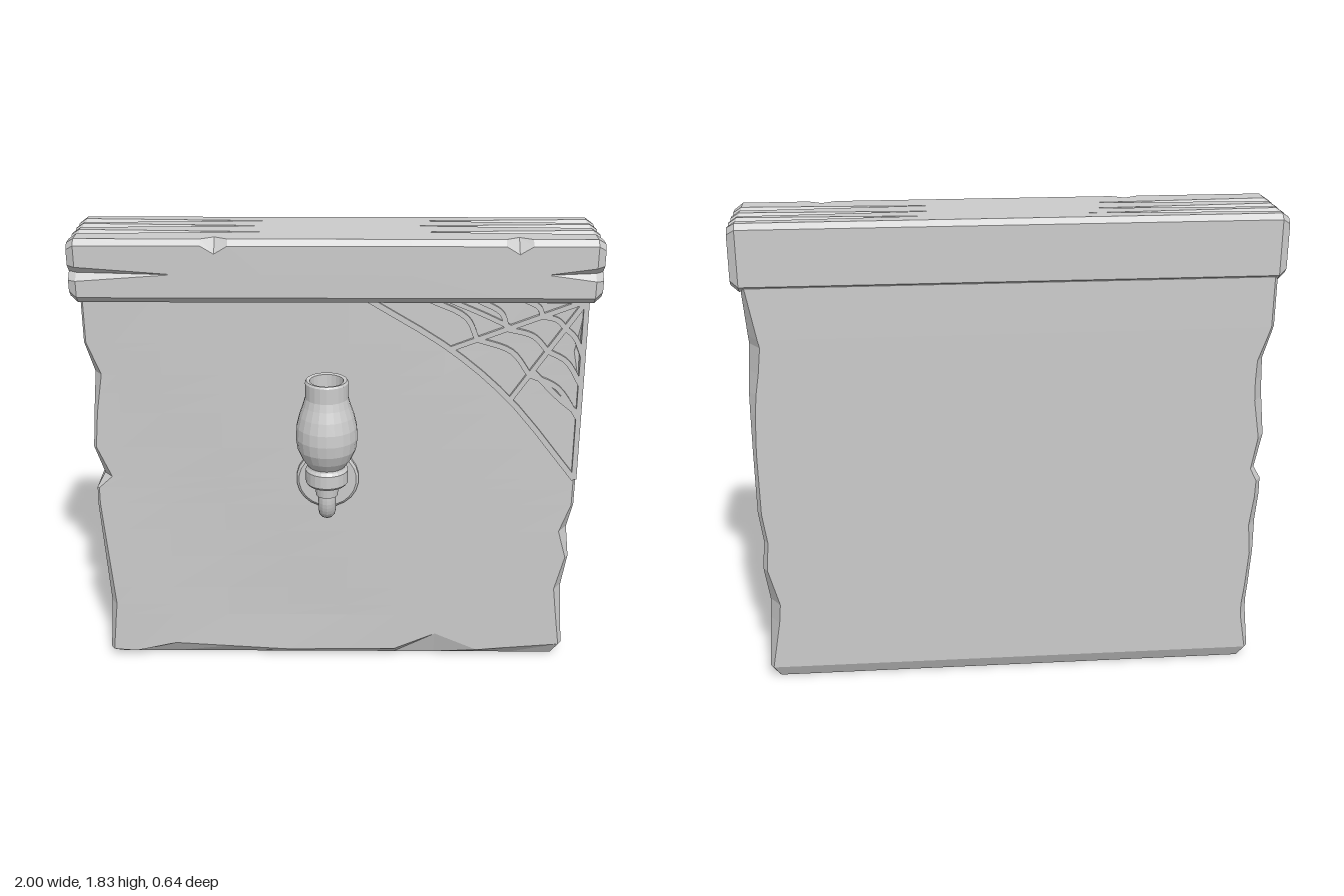
import * as THREE from 'three';

const mat = new THREE.MeshStandardMaterial({ color: 0xcccccc, flatShading: true });

function add(parent, name, geo) {
  const m = new THREE.Mesh(geo, mat);
  m.name = name;
  parent.add(m);
  return m;
}

// Skin equal-length rings of [x, y, z] points and close both ends with fans
function loft(rings) {
  const n = rings[0].length, pos = [];
  const tri = (a, b, c) => pos.push(...a, ...b, ...c);
  for (let r = 0; r < rings.length - 1; r++) {
    for (let i = 0; i < n; i++) {
      const j = (i + 1) % n;
      const a = rings[r][i], b = rings[r][j], c = rings[r + 1][j], d = rings[r + 1][i];
      tri(a, b, c);
      tri(a, c, d);
    }
  }
  const centre = (ring) => [0, 1, 2].map((k) => ring.reduce((s, p) => s + p[k], 0) / n);
  const first = rings[0], last = rings[rings.length - 1];
  const c0 = centre(first), c1 = centre(last);
  for (let i = 0; i < n; i++) {
    const j = (i + 1) % n;
    tri(c0, first[j], first[i]);
    tri(c1, last[i], last[j]);
  }
  const g = new THREE.BufferGeometry();
  g.setAttribute('position', new THREE.Float32BufferAttribute(pos, 3));
  g.computeVertexNormals();
  return g;
}

// Piecewise linear lookup in [key, value] pairs
function lerpTable(t, k) {
  if (k <= t[0][0]) return t[0][1];
  for (let i = 1; i < t.length; i++) {
    if (k <= t[i][0]) {
      const f = (k - t[i - 1][0]) / (t[i][0] - t[i - 1][0]);
      return t[i - 1][1] + f * (t[i][1] - t[i - 1][1]);
    }
  }
  return t[t.length - 1][1];
}

// Wall slab: horizontal rings whose corner chamfers vary with height
function wallGeometry() {
  const F = -0.01, B = -0.32, L = -0.97, R = 0.965;
  const frontR = [[0.05, 0.02], [0.33, 0.05], [0.48, 0.02], [0.6, 0.055], [0.72, 0.015], [1.2, 0.015], [1.38, 0.05], [1.58, 0.012]];
  const backR = [[0.05, 0.02], [0.31, 0.065], [0.45, 0.025], [1.05, 0.02], [1.36, 0.065], [1.56, 0.02]];
  const frontL = [[0.05, 0.02], [0.25, 0.035], [0.79, 0.012], [0.84, 0.05], [0.97, 0.015], [1.12, 0.02], [1.28, 0.04], [1.41, 0.012]];
  const backL = [[0.05, 0.02], [0.2, 0.04], [0.45, 0.02], [0.6, 0.05], [0.85, 0.025], [1.15, 0.06], [1.4, 0.02]];
  const sideL = [[0.05, 0.01], [0.25, 0.025], [0.78, 0], [0.84, 0.035], [0.97, 0.005], [1.28, 0.03], [1.41, 0]];
  const sideR = [[0.05, 0.005], [0.33, 0.02], [0.48, 0.005], [0.6, 0.015], [0.72, 0], [1.2, 0], [1.38, 0.012], [1.58, 0]];
  const chip = [[-0.97, 0.03], [-0.85, 0.02], [-0.68, 0.06], [-0.2, 0.03], [0.25, 0.035], [0.42, 0.11], [0.6, 0.03], [0.93, 0.06]];
  const columns = [-0.85, -0.68, -0.45, -0.2, 0.05, 0.25, 0.42, 0.6, 0.75];
  const rows = [0, 0.05, 0.2, 0.25, 0.33, 0.48, 0.6, 0.72, 0.79, 0.84, 0.97, 1.12, 1.2, 1.28, 1.38, 1.41, 1.6];
  const rings = rows.map((y, r) => {
    const inset = r === 0 ? 0.025 : 0;
    const l = L + lerpTable(sideL, y) + inset, rt = R - lerpTable(sideR, y) - inset;
    const f = F - inset * 1.4, b = B + inset;
    const [fr, br, fl, bl] = [frontR, backR, frontL, backL].map((t) => lerpTable(t, y));
    // Lower rows follow the worn bottom edge
    const lift = (x) => (r === 1 ? lerpTable(chip, x) : y);
    const dent = (x) => 0.006 * Math.max(0, Math.sin(3.1 * x + 2.4 * y + 2)) * (r > 1 ? 1 : 0);
    const front = [l + fl * 0.7, ...columns, rt - fr * 0.7].map((x) => [x, lift(x), f - dent(x)]);
    return [...front,
      [rt, r === 1 ? 0.06 : y, f - fr], [rt, y, b + br], [rt - br * 0.7, y, b],
      [l + bl * 0.7, y, b], [l, y, b + bl], [l, r === 1 ? 0.03 : y, f - fl]];
  });
  return loft(rings);
}

// Coping beam: cross-sections along x with splits tapering in from both ends
function copingGeometry() {
  const top = 1.83, bot = 1.585, F = 0.05, B = -0.32;
  const stations = [-1, -0.97, -0.61, -0.5, -0.45, -0.4, -0.28, 0.28, 0.63, 0.68, 0.73, 0.79, 0.97, 1];
  return loft(stations.map((x) => {
    const end = Math.abs(x) === 1 ? 0.02 : 0;
    const split = Math.max(0, (Math.abs(x) - 0.28) / 0.72);
    const crack = Math.max(0, x < 0 ? (-x - 0.61) / 0.39 : (x - 0.79) / 0.21);
    const nick = x === -0.45 || x === 0.68 ? 0.03 : 0;
    const t = top - end, f = F - end, b = B + end, u = bot + end;
    const pts = [[t - 0.02, b], [t, b + 0.02]];
    for (const z of [-0.24, -0.165, -0.075]) {
      pts.push([t, z - 0.028 * split - 0.001], [t - 0.028 * split, z], [t, z + 0.028 * split + 0.001]);
    }
    pts.push([t, f - 0.02 - nick], [t - 0.022 - nick, f],
      [1.7 + 0.028 * crack + 0.001, f], [1.7, f - 0.03 * crack], [1.7 - 0.028 * crack - 0.001, f],
      [u + 0.025, f], [u, f - 0.025], [u, b + 0.02], [u + 0.02, b]);
    return pts.map(([y, z]) => [x, y, z]);
  }));
}

// Flat strand of given width following a smooth path on the wall face
function strandGeometry(path, width) {
  const curve = new THREE.CatmullRomCurve3(path.map(([x, y]) => new THREE.Vector3(x, y, 0)));
  const a = [], b = [];
  for (let i = 0; i <= 10; i++) {
    const p = curve.getPoint(i / 10), t = curve.getTangent(i / 10);
    a.push(new THREE.Vector2(p.x - t.y * width / 2, p.y + t.x * width / 2));
    b.unshift(new THREE.Vector2(p.x + t.y * width / 2, p.y - t.x * width / 2));
  }
  const g = new THREE.ExtrudeGeometry(new THREE.Shape([...a, ...b]), { depth: 0.03, bevelEnabled: false });
  return g.translate(0, 0, -0.032);
}

function buildWeb() {
  const web = new THREE.Group();
  web.name = 'cornerWeb';
  const corner = [0.95, 1.585];
  const ends = [[0.12, 1.59], [0.44, 1.39], [0.68, 1.18], [0.955, 0.84]];
  const at = (e, t) => [corner[0] + (e[0] - corner[0]) * t, corner[1] + (e[1] - corner[1]) * t];
  add(web, 'outerStrand', strandGeometry(ends, 0.022));
  ends.forEach((e) => add(web, 'spoke', strandGeometry([corner, at(e, 0.5), e], 0.02)));
  add(web, 'spoke', strandGeometry([at(ends[1], 0.55), [0.56, 1.53], [0.42, 1.59]], 0.018));
  add(web, 'spoke', strandGeometry([at(ends[2], 0.7), [0.87, 1.19], [0.955, 1.12]], 0.022));
  // Cross threads sag toward the corner between neighbouring spokes
  [[0.28, 0.32, 0.27, 0.3], [0.5, 0.58, 0.5, 0.46], [0.72, 0.8, 0.74, 0.65]].forEach((ring) => {
    for (let i = 0; i < 3; i++) {
      const p = at(ends[i], ring[i]), q = at(ends[i + 1], ring[i + 1]);
      const mid = [(p[0] + q[0]) / 2, (p[1] + q[1]) / 2];
      add(web, 'crossThread', strandGeometry([p, at(mid, 0.9), q], 0.02));
    }
  });
  return web;
}

function buildSconce() {
  const lamp = new THREE.Group();
  lamp.name = 'wallLamp';
  const lathe = (pts) => new THREE.LatheGeometry(pts.map(([r, y]) => new THREE.Vector2(r, y)), 22);

  const plate = lathe([[0, -0.015], [0.125, -0.015], [0.125, 0.008], [0.115, 0.016], [0, 0.016]]);
  add(lamp, 'backPlate', plate.rotateX(Math.PI / 2)).position.set(0, 0.845, 0);

  const path = [[0, 0.85], [0.035, 0.85], [0.065, 0.83], [0.1, 0.793], [0.145, 0.781], [0.185, 0.798], [0.202, 0.835], [0.203, 0.88]]
    .map(([z, y]) => new THREE.Vector3(0, y, z));
  add(lamp, 'curvedArm', new THREE.TubeGeometry(new THREE.CatmullRomCurve3(path), 24, 0.034, 12));

  const holder = lathe([[0, 0.872], [0.043, 0.872], [0.046, 0.915], [0.074, 0.92], [0.082, 0.93],
    [0.082, 0.98], [0.074, 0.99], [0.07, 1.0], [0, 1.0]]);
  add(lamp, 'holder', holder).position.z = 0.203;

  // Open glass chimney with inner wall
  const glass = lathe([[0.07, 0.995], [0.095, 1.03], [0.112, 1.07], [0.118, 1.115], [0.115, 1.16], [0.104, 1.205],
    [0.09, 1.245], [0.082, 1.275], [0.082, 1.335], [0.077, 1.343], [0.064, 1.34], [0.062, 1.27], [0.095, 1.17], [0.1, 1.09], [0.06, 1.003]]);
  add(lamp, 'glassChimney', glass).position.z = 0.203;

  const burner = lathe([[0.04, 0.995], [0.035, 1.06], [0.025, 1.1], [0, 1.12]]);
  add(lamp, 'burner', burner).position.z = 0.203;

  lamp.position.x = -0.032;
  return lamp;
}

export function createModel() {
  const model = new THREE.Group();
  model.name = 'wallSection';
  add(model, 'wallSlab', wallGeometry());
  add(model, 'copingBeam', copingGeometry());
  model.add(buildWeb(), buildSconce());
  return model;
}
